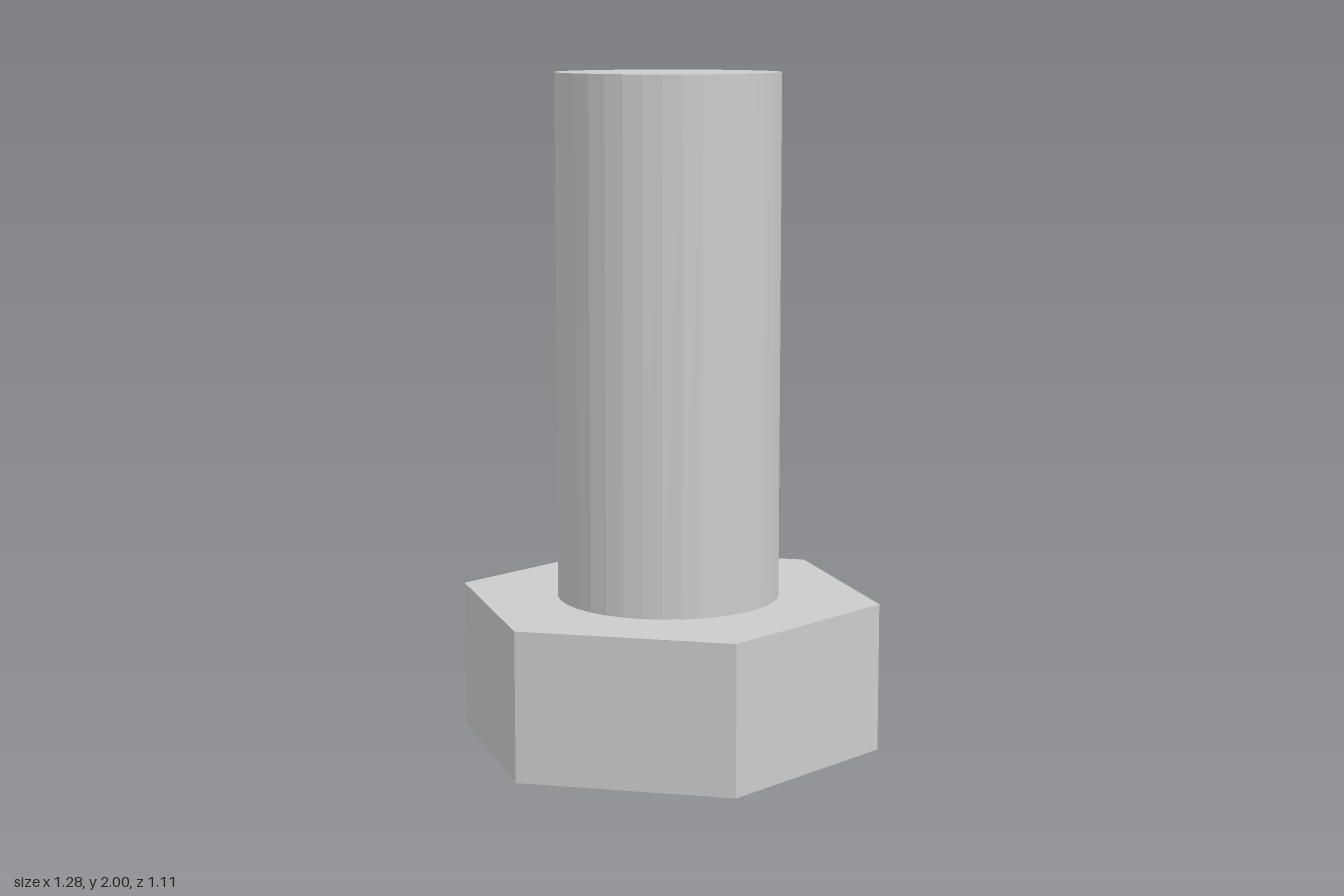
import * as THREE from 'three';

const HEAD_HEIGHT = 0.444;
const TOTAL_HEIGHT = 2;

export function createModel() {
  const group = new THREE.Group();
  group.name = 'hexBolt';
  const material = new THREE.MeshStandardMaterial({ color: 0xcccccc, flatShading: true });

  // Upright prism standing between two heights, with a corner on the x axis
  const addPrism = (name, radius, sides, bottom, top) => {
    const geometry = new THREE.CylinderGeometry(radius, radius, top - bottom, sides, 1, false, Math.PI / 2);
    geometry.translate(0, (bottom + top) / 2, 0);
    const mesh = new THREE.Mesh(geometry, material);
    mesh.name = name;
    group.add(mesh);
  };

  // Six-sided head at the base, round shank rising from it
  addPrism('head', 0.64, 6, 0, HEAD_HEIGHT);
  addPrism('shank', 0.332, 36, HEAD_HEIGHT, TOTAL_HEIGHT);

  return group;
}
